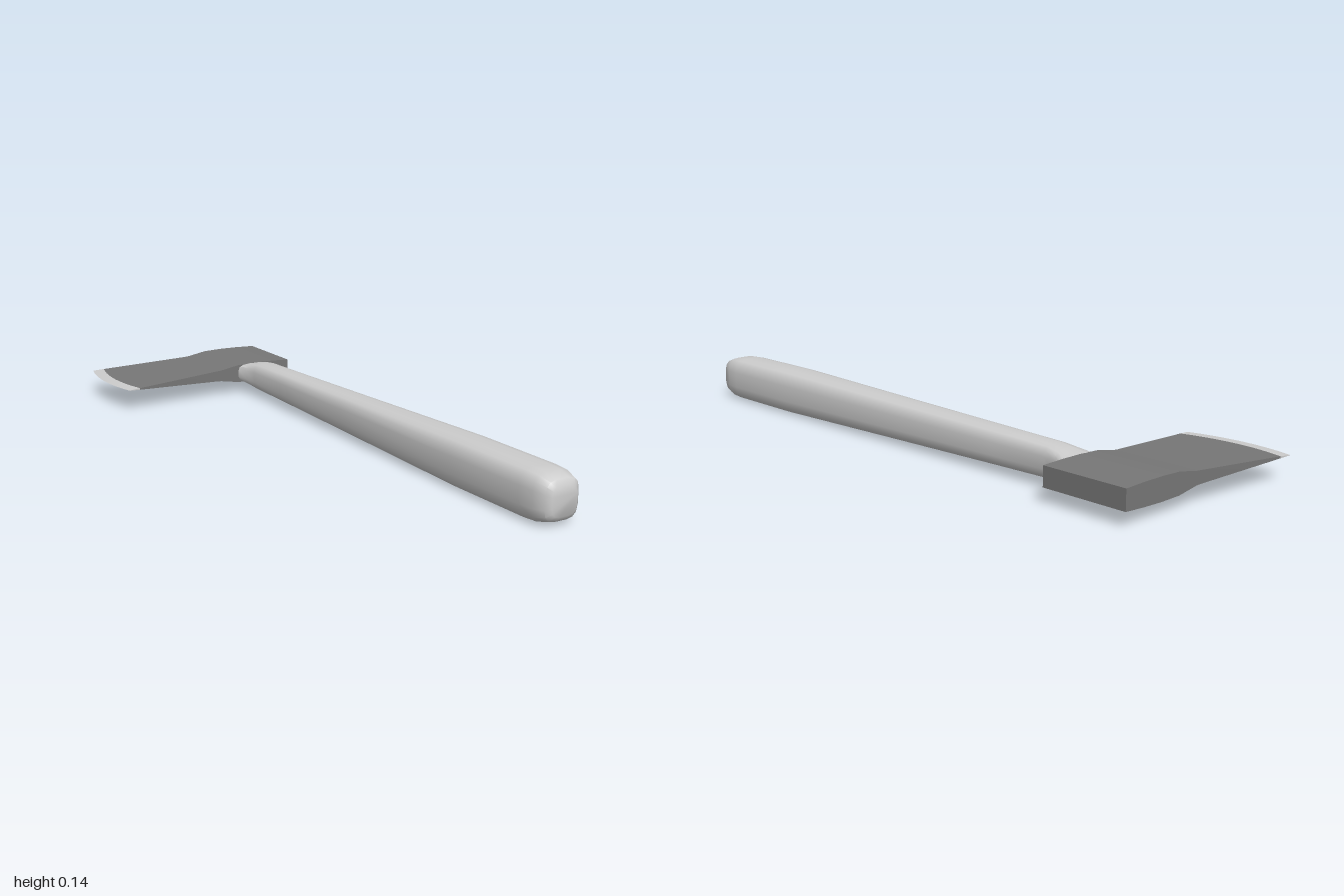
import * as THREE from 'three';
import { toCreasedNormals } from 'three/addons/utils/BufferGeometryUtils.js';

// Skin a list of closed rings; optional flat caps on the first and last ring.
function loft(rings, capStart, capEnd, crease) {
  const n = rings[0].length, last = (rings.length - 1) * n, index = [];
  for (let r = 0; r < rings.length - 1; r++) {
    for (let i = 0; i < n; i++) {
      const a = r * n + i, b = r * n + (i + 1) % n;
      index.push(a, b, b + n, a, b + n, a + n);
    }
  }
  for (let i = 1; i < n - 1; i++) {
    if (capStart) index.push(0, i + 1, i);
    if (capEnd) index.push(last, last + i, last + i + 1);
  }
  const geometry = new THREE.BufferGeometry();
  geometry.setAttribute('position', new THREE.Float32BufferAttribute(rings.flat(2), 3));
  geometry.setIndex(index);
  return toCreasedNormals(geometry, crease);
}

const MID_Y = 0.073, HANDLE_X = 0.2, HEAD_Z = -0.824;

// Rounded-square handle section
const quarter = [[1, 0.36], [0.92, 0.72], [0.72, 0.92], [0.36, 1]];
function handleRing([z, halfX, halfY]) {
  const ring = [];
  for (let q = 0; q < 4; q++) {
    for (const [u, v] of quarter) {
      const [cx, cy] = [[u, v], [-v, u], [-u, -v], [v, -u]][q];
      ring.push([HANDLE_X + cx * halfX, MID_Y + cy * halfY, z]);
    }
  }
  return ring;
}

// Flat head section whose middle bulges toward the cutting edge
const STEPS = 10;
function headRing([x, halfY, halfZ, bulge]) {
  const ring = [];
  for (const side of [1, -1]) {
    for (let i = 0; i <= STEPS; i++) {
      const t = side * (2 * i / STEPS - 1);
      ring.push([x - bulge * (1 - t * t), MID_Y + side * halfY, HEAD_Z + t * halfZ]);
    }
  }
  return ring;
}

export function createModel() {
  const group = new THREE.Group();
  const handleGrey = new THREE.MeshStandardMaterial({ name: 'handle light grey', color: 0xcccccc });
  const steelDark = new THREE.MeshStandardMaterial({ name: 'dark steel', color: 0x777777 });
  const steelLight = new THREE.MeshStandardMaterial({ name: 'bright steel', color: 0xcccccc });

  const add = (name, geometry, material) => {
    const mesh = new THREE.Mesh(geometry, material);
    mesh.name = name;
    group.add(mesh);
  };

  // Handle, flaring where it meets the head: z, half width, half height
  const handle = [
    [-0.7, 0.072, 0.032], [-0.68, 0.067, 0.034], [-0.645, 0.055, 0.041], [-0.6, 0.048, 0.048],
    [-0.4, 0.05, 0.052], [0, 0.057, 0.06], [0.6, 0.07, 0.072], [0.9, 0.07, 0.0715],
    [0.95, 0.067, 0.069], [0.988, 0.057, 0.058], [1, 0.043, 0.043],
  ];
  add('handle', loft(handle.map(handleRing), true, true, 0.72), handleGrey);

  // Head and sharpened edge: x, half thickness, half height, bulge
  const bevel = [-0.275, 0.003, 0.171, 0.025];
  const head = [
    bevel, [0.045, 0.019, 0.14, 0], [0.06, 0.02, 0.14, 0], [0.13, 0.032, 0.14, 0],
    [0.2, 0.034, 0.14, 0], [0.27, 0.033, 0.14, 0], [0.34, 0.03, 0.14, 0],
  ];
  add('axeHead', loft(head.map(headRing), false, true, 0.6), steelDark);
  const edge = [[-0.315, 0.0003, 0.176, 0.025], bevel];
  add('cuttingEdge', loft(edge.map(headRing), true, false, 0.6), steelLight);

  return group;
}
